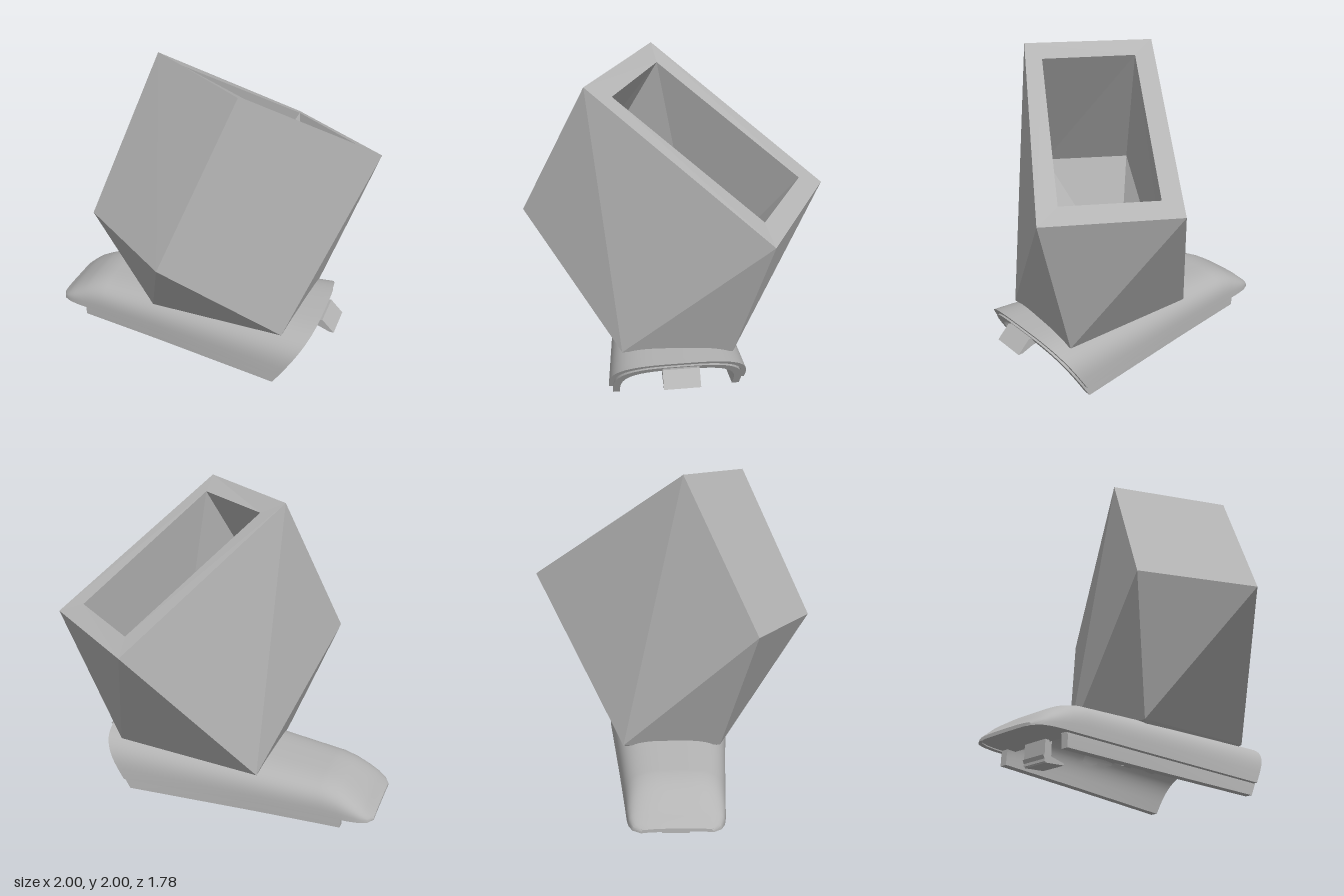
import * as THREE from 'three';
import { toCreasedNormals } from 'three/addons/utils/BufferGeometryUtils.js';

const grey = new THREE.MeshStandardMaterial({ color: 0xb4b4b4, side: THREE.DoubleSide });
grey.name = 'plain grey';

function geometryFrom(points) {
  const g = new THREE.BufferGeometry().setFromPoints(points);
  g.computeVertexNormals();
  return g;
}

// Linear lookup of one column in a small station table
const stations = [ // x, half width, top height
  [-1, 0.2, 0.145], [-0.97, 0.245, 0.17], [-0.92, 0.268, 0.215], [-0.85, 0.28, 0.26],
  [-0.77, 0.287, 0.303], [-0.68, 0.295, 0.328], [-0.25, 0.335, 0.36], [0.7, 0.43, 0.43],
];
function lookup(x, col) {
  let i = 0;
  while (i < stations.length - 2 && x > stations[i + 1][0]) i++;
  const a = stations[i], b = stations[i + 1];
  return THREE.MathUtils.lerp(a[col], b[col], (x - a[0]) / (b[0] - a[0]));
}

// Arched shell: outer and inner skins, slanted open end, opening under the hopper
function archShell(xs, inset, thick, base) {
  const n = 32;
  const arch = (x, off) => {
    const w = lookup(x, 1) - off, b = Math.min(base, lookup(x, 2) - 0.01);
    const h = Math.max(lookup(x, 2) - off, b + 0.005);
    const slant = 0.58 * THREE.MathUtils.clamp((x + 0.2) / 0.86, 0, 1);
    return Array.from({ length: n + 1 }, (_, k) => {
      const t = Math.PI * k / n, c = Math.cos(t), s = Math.max(0, Math.sin(t));
      const y = b + (h - b) * s ** 0.6;
      return new THREE.Vector3(x + slant * (y - 0.12), y, w * Math.sign(c) * Math.abs(c) ** 0.6);
    });
  };
  const loops = xs.map(x => [...arch(x, inset), ...arch(x, inset + thick).reverse()]);
  const m = 2 * (n + 1), pts = [];
  const quad = (a, b, c, d) => pts.push(a, b, c, a, c, d);
  for (let i = 0; i < loops.length - 1; i++) {
    for (let j = 0; j < m; j++) {
      const p = loops[i], q = loops[i + 1], k = (j + 1) % m;
      const mid = p[j].clone().add(q[j]).add(p[k]).add(q[k]).multiplyScalar(0.25);
      if (Math.abs(mid.z) < 0.26 && mid.y > 0.2 && mid.x > -0.2 && mid.x < 0.62) continue;
      quad(p[j], q[j], q[k], p[k]);
    }
  }
  const first = loops[0], last = loops[loops.length - 1];
  for (let k = 0; k < n; k++) {
    quad(last[k], last[m - 1 - k], last[m - 2 - k], last[k + 1]);
    quad(first[k], first[k + 1], first[m - 2 - k], first[m - 1 - k]);
  }
  return toCreasedNormals(geometryFrom(pts), 0.6);
}

const range = (a, b, n) => Array.from({ length: n + 1 }, (_, i) => a + (b - a) * i / n);

// Tilted hollow hopper with faceted walls
const outer = {
  A: [0.34, 1.32, -0.89], B: [1, 1.32, -0.47], C: [0.38, 2, 0.48], D: [-0.27, 2, 0.06],
  E: [-0.53, 1.09, 0.49], F: [0.08, 1.09, 0.89],
  P: [-0.25, 0.325, 0.3], Q: [0.65, 0.38, 0.335], R: [0.71, 0.38, -0.335], S: [-0.25, 0.325, -0.31],
};
const inner = {
  A: [0.38, 1.38, -0.74], B: [0.84, 1.38, -0.44], C: [0.36, 1.93, 0.33], D: [-0.12, 1.93, 0.04],
  E: [-0.4, 1.09, 0.44], F: [0.07, 1.09, 0.75],
  P: [-0.18, 0.29, 0.26], Q: [0.6, 0.33, 0.27], R: [0.62, 0.33, -0.26], S: [-0.18, 0.29, -0.26],
};
function hopperGeometry() {
  const walls = ['DCF', 'DFE', 'EFP', 'FQP', 'CFQ', 'CBQ', 'BQR', 'ABR', 'ARS', 'ADS', 'DES', 'ESP'];
  const pts = [], centre = new THREE.Vector3(0.15, 1.05, 0);
  const v = a => new THREE.Vector3(...a);
  const face = (a, b, c, wanted) => {
    const normal = b.clone().sub(a).cross(c.clone().sub(a));
    if (normal.dot(wanted) < 0) pts.push(a, c, b);
    else pts.push(a, b, c);
  };
  for (const [set, sign] of [[outer, 1], [inner, -1]]) {
    for (const wall of walls) {
      const [a, b, c] = [...wall].map(k => v(set[k]));
      const out = a.clone().add(b).add(c).divideScalar(3).sub(centre).multiplyScalar(sign);
      face(a, b, c, out);
    }
  }
  // Rim round the mouth and edge round the outlet
  for (const [ring, dir] of [['ABCD', 1], ['PQRS', -1]]) {
    for (let i = 0; i < 4; i++) {
      const k = ring[i], l = ring[(i + 1) % 4], up = new THREE.Vector3(0, dir, 0);
      face(v(outer[k]), v(outer[l]), v(inner[l]), up);
      face(v(outer[k]), v(inner[l]), v(inner[k]), up);
    }
  }
  return geometryFrom(pts);
}

// Side outline swept evenly across z
function sideExtrude(points, width) {
  const shape = new THREE.Shape(points.map(p => new THREE.Vector2(...p)));
  return new THREE.ExtrudeGeometry(shape, { depth: width, bevelEnabled: false }).translate(0, 0, -width / 2);
}

export function createModel() {
  const model = new THREE.Group();
  const add = (name, geometry, x = 0, y = 0, z = 0) => {
    const mesh = new THREE.Mesh(geometry, grey);
    mesh.name = name;
    mesh.position.set(x, y, z);
    model.add(mesh);
    return mesh;
  };
  const box = (name, w, h, d, x, y, z) => add(name, new THREE.BoxGeometry(w, h, d), x, y, z);

  add('hopper', hopperGeometry());

  // Body cover and the slimmer lining that hangs below it
  const nose = [-1, -0.985, -0.97, -0.945, -0.92, -0.885, -0.85, -0.81, -0.77, -0.725];
  add('bodyShell', archShell([...nose, ...range(-0.68, 0.66, 34)], 0, 0.03, 0.12));
  add('innerSkirt', archShell(range(-0.8, 0.675, 36), 0.025, 0.045, 0.04));

  // Underside of the nose
  const plate = new THREE.Shape([
    [-1, -0.19], [-0.96, -0.24], [-0.9, -0.265], [-0.74, -0.275],
    [-0.74, 0.275], [-0.9, 0.265], [-0.96, 0.24], [-1, 0.19],
  ].map(p => new THREE.Vector2(...p)));
  add('nosePlate', new THREE.ExtrudeGeometry(plate, { depth: 0.012, bevelEnabled: false })
    .rotateX(Math.PI / 2), 0, 0.138, 0);

  // Foot: flared post with a centre rib and sole
  const post = new THREE.Shape();
  post.moveTo(-0.08, 0.005);
  post.lineTo(0.08, 0.005);
  post.lineTo(0.08, 0.13);
  post.quadraticCurveTo(0.09, 0.17, 0.16, 0.2);
  post.lineTo(-0.16, 0.2);
  post.quadraticCurveTo(-0.09, 0.17, -0.08, 0.13);
  add('footPost', new THREE.ExtrudeGeometry(post, { depth: 0.03, bevelEnabled: false, curveSegments: 8 })
    .rotateY(Math.PI / 2), -0.79, 0, 0);
  box('footRib', 0.08, 0.22, 0.02, -0.72, 0.13, 0);
  add('footSole', sideExtrude([[-0.8, 0.04], [-0.78, 0], [-0.65, 0.012], [-0.65, 0.022], [-0.74, 0.04]], 0.16));

  // Catch at the open end
  add('endCatch', sideExtrude([[0.76, 0.37], [0.85, 0.395], [0.93, 0.315], [0.9, 0.315], [0.83, 0.34], [0.76, 0.35]], 0.22));

  // Bar inside the shell and retaining tabs beside the outlet
  box('innerBar', 0.03, 0.05, 0.46, -0.26, 0.29, 0);
  for (const side of [-1, 1]) {
    for (const x of [0.1, 0.27, 0.45]) box('retainingTab', 0.09, 0.02, 0.08, x, 0.28, side * 0.285);
    box('endTab', 0.06, 0.02, 0.1, 0.7, 0.32, side * 0.27);
  }
  return model;
}
